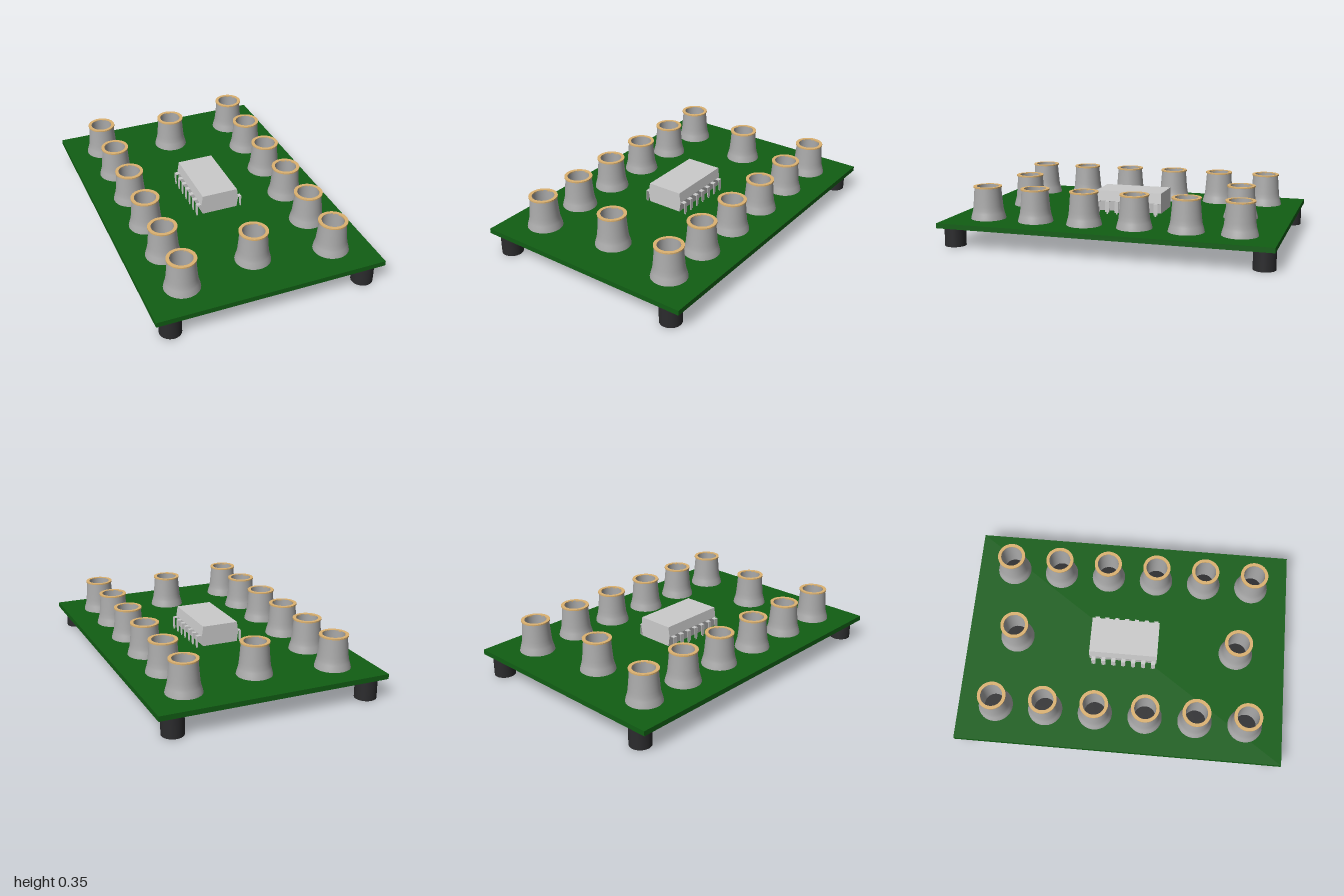
import * as THREE from 'three';

const mat = (color, side = THREE.FrontSide) => new THREE.MeshStandardMaterial({ color, side });
const green = mat(0x115e14), black = mat(0x2b2b2d), grey = mat(0xcccccc);
const metal = mat(0xaaaaaa, THREE.DoubleSide), gold = mat(0xdcb271);

function add(parent, name, geometry, material, x = 0, y = 0, z = 0) {
  const mesh = new THREE.Mesh(geometry, material);
  mesh.name = name;
  mesh.position.set(x, y, z);
  parent.add(mesh);
  return mesh;
}

const lathe = (points) =>
  new THREE.LatheGeometry(points.map(([r, y]) => new THREE.Vector2(r, y)), 40);

// Flared metal terminal with a gold lip and a dark well
const shellGeo = lathe([[0.106, 0], [0.102, 0.018], [0.096, 0.038], [0.092, 0.055],
  [0.089, 0.08], [0.085, 0.125], [0.08, 0.188]]);
const wellGeo = lathe([[0.066, 0.196], [0.066, 0.01]]);
const lipGeo = new THREE.ExtrudeGeometry(ringShape(0.086, 0.066),
  { depth: 0.008, bevelEnabled: false, curveSegments: 20 });
lipGeo.rotateX(-Math.PI / 2);
const floorGeo = new THREE.CircleGeometry(0.066, 40).rotateX(-Math.PI / 2);

function ringShape(outer, inner) {
  const shape = new THREE.Shape().absarc(0, 0, outer, 0, Math.PI * 2);
  shape.holes.push(new THREE.Path().absarc(0, 0, inner, 0, Math.PI * 2, true));
  return shape;
}

function terminal(x, z) {
  const g = new THREE.Group();
  g.name = 'terminal';
  g.position.set(x, 0.15, z);
  add(g, 'terminalShell', shellGeo, metal);
  add(g, 'terminalWell', wellGeo, metal);
  add(g, 'terminalLip', lipGeo, gold, 0, 0.19);
  add(g, 'terminalFloor', floorGeo, black, 0, 0.01);
  return g;
}

// Chip with a tapered body and two rows of bent pins
function chip() {
  const g = new THREE.Group();
  g.name = 'chip';
  const section = new THREE.Shape([[-0.112, 0.165], [0.112, 0.165], [0.121, 0.228],
    [0.112, 0.29], [-0.112, 0.29], [-0.121, 0.228]].map(([x, y]) => new THREE.Vector2(x, y)));
  const body = new THREE.ExtrudeGeometry(section, { depth: 0.42, bevelEnabled: false });
  add(g, 'chipBody', body, grey, 0, 0, -0.22);

  const shoulder = new THREE.BoxGeometry(0.03, 0.004, 0.026);
  const blade = new THREE.BoxGeometry(0.004, 0.068, 0.026);
  const tail = new THREE.BoxGeometry(0.004, 0.08, 0.01);
  for (const side of [-1, 1]) {
    for (let i = 0; i < 7; i++) {
      const z = 0.18 - i * 0.0622;
      add(g, 'pinShoulder', shoulder, grey, side * 0.131, 0.226, z);
      add(g, 'pinBlade', blade, grey, side * 0.144, 0.194, z);
      add(g, 'pinTail', tail, grey, side * 0.144, 0.12, z);
    }
  }
  return g;
}

export function createModel() {
  const model = new THREE.Group();
  model.name = 'terminalBoard';
  add(model, 'board', new THREE.BoxGeometry(1.384, 0.03, 2), green, 0, 0.135, 0);

  // Corner feet
  const foot = new THREE.CylinderGeometry(0.064, 0.064, 0.12, 32);
  for (const x of [-0.59, 0.59]) {
    for (const z of [-0.93, 0.93]) add(model, 'foot', foot, black, x, 0.06, z);
  }

  // Two side rows and one terminal at each end
  for (const x of [-0.461, 0.461]) {
    for (let i = 0; i < 6; i++) model.add(terminal(x, -0.77 + i * 0.308));
  }
  for (const z of [-0.692, 0.692]) model.add(terminal(0, z));

  model.add(chip());
  return model;
}
